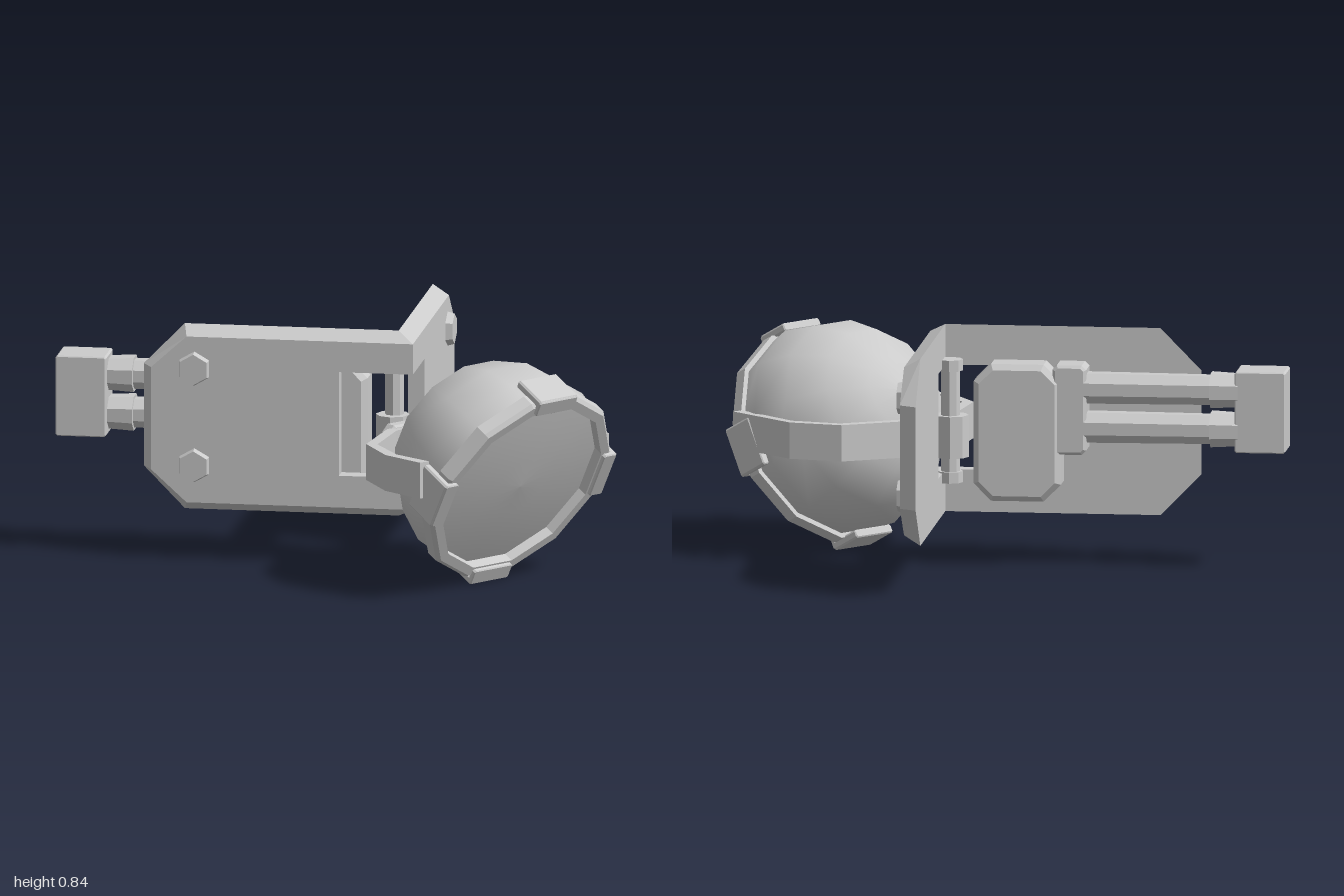
import * as THREE from 'three';

const grey = new THREE.MeshStandardMaterial({ color: 0xcccccc, flatShading: true });
const smooth = new THREE.MeshStandardMaterial({ color: 0xcccccc, side: THREE.DoubleSide });

function add(parent, name, geometry, x = 0, y = 0, z = 0, material = grey) {
  const mesh = new THREE.Mesh(geometry, material);
  mesh.name = name;
  mesh.position.set(x, y, z);
  parent.add(mesh);
  return mesh;
}

const polygon = (pts) => new THREE.Shape(pts.map(([x, y]) => new THREE.Vector2(x, y)));

// Centred block with cut corners (c) and bevelled face edges (b)
function cutBlock(w, h, d, c, b) {
  const x = w / 2 - b, y = h / 2 - b;
  const shape = polygon([[-x + c, -y], [x - c, -y], [x, -y + c], [x, y - c],
    [x - c, y], [-x + c, y], [-x, y - c], [-x, -y + c]]);
  return new THREE.ExtrudeGeometry(shape, { depth: d - 2 * b, bevelEnabled: true,
    bevelThickness: b, bevelSize: b, bevelSegments: 1 }).translate(0, 0, b - d / 2);
}

// One leg of the angled bracket: half a window at the corner, mitred end, sloped rim, two bolts
function wingPlate(name, s) {
  const group = new THREE.Group();
  group.name = name;
  const outline = [[0, 0.165], [0.765, 0.165], [0.912, 0.315], [0.912, 0.685], [0.765, 0.835],
    [0, 0.835], [0, 0.69], [0.205, 0.69], [0.205, 0.315], [0, 0.315]];
  const geo = new THREE.ExtrudeGeometry(polygon(outline.map(([u, v]) => [u * s, v])),
    { depth: 0.06, bevelEnabled: false });
  const p = geo.attributes.position;
  for (let i = 0; i < p.count; i++) {
    if (p.getZ(i) < 0.03) continue;
    const u = p.getX(i) * s, v = p.getY(i);
    if (u < 0.01) p.setX(i, -0.06 * s);
    if (u > 0.9) p.setX(i, (u - 0.035) * s);
    else if (u > 0.7) p.setX(i, (u - 0.015) * s);
    if (Math.abs(v - 0.5) > 0.3) p.setY(i, v - Math.sign(v - 0.5) * 0.035);
  }
  geo.computeVertexNormals();
  add(group, 'plate', geo);
  for (const y of [0.335, 0.685]) {
    const bolt = new THREE.CylinderGeometry(0.055, 0.063, 0.03, 6).rotateX(Math.PI / 2);
    add(group, 'hexBolt', bolt, 0.722 * s, y, 0.07);
  }
  group.position.set(0.225, 0, 0.11);
  return group;
}

function buildLatch() {
  const g = new THREE.Group();
  g.name = 'latch';
  add(g, 'latchBody', cutBlock(0.31, 0.49, 0.14, 0.05, 0.02), -0.045, 0.47, 0.04);
  add(g, 'armSocket', cutBlock(0.12, 0.32, 0.125, 0.01, 0.01), -0.23, 0.555, 0.04);
  for (const y of [0.49, 0.63]) {
    const rod = new THREE.CylinderGeometry(0.058, 0.062, 0.5, 8).rotateY(Math.PI / 8)
      .rotateZ(Math.PI / 2).scale(1, 0.95, 1);
    add(g, 'arm', rod, -0.5, y, 0.035);
    const knuckle = new THREE.CylinderGeometry(0.064, 0.07, 0.1, 8).rotateY(Math.PI / 8)
      .rotateZ(Math.PI / 2).scale(1, 0.95, 1.15);
    add(g, 'armKnuckle', knuckle, -0.78, y, 0.035);
  }
  add(g, 'endBlock', cutBlock(0.18, 0.29, 0.16, 0.004, 0.004), -0.91, 0.56, 0.05);
  return g;
}

function buildHinge() {
  const g = new THREE.Group();
  g.name = 'hinge';
  add(g, 'hingePin', new THREE.CylinderGeometry(0.034, 0.034, 0.42, 8), 0.2, 0.5, 0.05);
  for (const y of [0.3, 0.7]) {
    add(g, 'hingeCollar', new THREE.CylinderGeometry(0.045, 0.045, 0.04, 8), 0.2, y, 0.05);
  }
  add(g, 'hingeKnuckle', new THREE.CylinderGeometry(0.06, 0.06, 0.15, 8), 0.195, 0.445, 0.055);
  const pad = add(g, 'yokePad', cutBlock(0.23, 0.15, 0.05, 0.02, 0.008), 0.265, 0.435, 0.115);
  pad.rotation.y = 0.89;
  return g;
}

// Band bent around the lamp, drawn in plan and extruded upward
function buildYoke() {
  const cx = 0.7, cz = 0.435;
  const outer = [[0.4, 0.735], [0.26, 0.63], [0.165, 0.465], [0.2, 0.215], [0.36, 0.01],
    [0.57, -0.1], [0.76, -0.06], [0.985, 0.155]];
  const inner = outer.map(([x, z]) => {
    const k = 1 - 0.04 / Math.hypot(x - cx, z - cz);
    return [cx + (x - cx) * k, cz + (z - cz) * k];
  });
  const shape = polygon([...outer, ...inner.reverse()].map(([x, z]) => [x, -z]));
  return new THREE.ExtrudeGeometry(shape, { depth: 0.13, bevelEnabled: false }).rotateX(-Math.PI / 2);
}

// Lamp is modelled facing +z, then turned and tilted
function buildLamp() {
  const g = new THREE.Group();
  g.name = 'lamp';
  const lathe = (pts) => new THREE.LatheGeometry(pts.map(([r, y]) => new THREE.Vector2(r, y)), 12)
    .rotateX(Math.PI / 2).rotateZ(Math.PI / 12);
  add(g, 'lampBowl', lathe([[0, -0.465], [0.14, -0.445], [0.27, -0.365], [0.355, -0.235],
    [0.39, -0.1], [0.375, 0]]), 0, 0, 0, smooth);
  add(g, 'lens', lathe([[0.36, -0.01], [0.25, 0.005], [0.12, 0.015], [0, 0.02]]), 0, 0, 0, smooth);
  add(g, 'rimRing', lathe([[0.35, -0.03], [0.398, -0.03], [0.398, 0.015], [0.385, 0.03],
    [0.35, 0.03], [0.35, -0.03]]));
  for (let i = 0; i < 4; i++) {
    const clip = new THREE.Group();
    clip.name = 'rimClip';
    add(clip, 'clipBand', cutBlock(0.18, 0.03, 0.13, 0.004, 0.004), 0, 0.393, -0.025);
    add(clip, 'clipLip', cutBlock(0.18, 0.06, 0.02, 0.004, 0.004), 0, 0.375, 0.034);
    clip.rotation.z = i * Math.PI / 2;
    g.add(clip);
  }
  g.position.set(0.7, 0.37, 0.435);
  g.rotation.set(0.48, 0.89, 0, 'YXZ');
  return g;
}

export function createModel() {
  const model = new THREE.Group();
  model.name = 'cornerLamp';
  const side = wingPlate('sidePlate', 1);
  side.rotation.y = Math.PI / 2;
  model.add(wingPlate('frontPlate', -1), side, buildLatch(), buildHinge(), buildLamp());
  add(model, 'yoke', buildYoke(), 0, 0.37, 0);
  return model;
}
